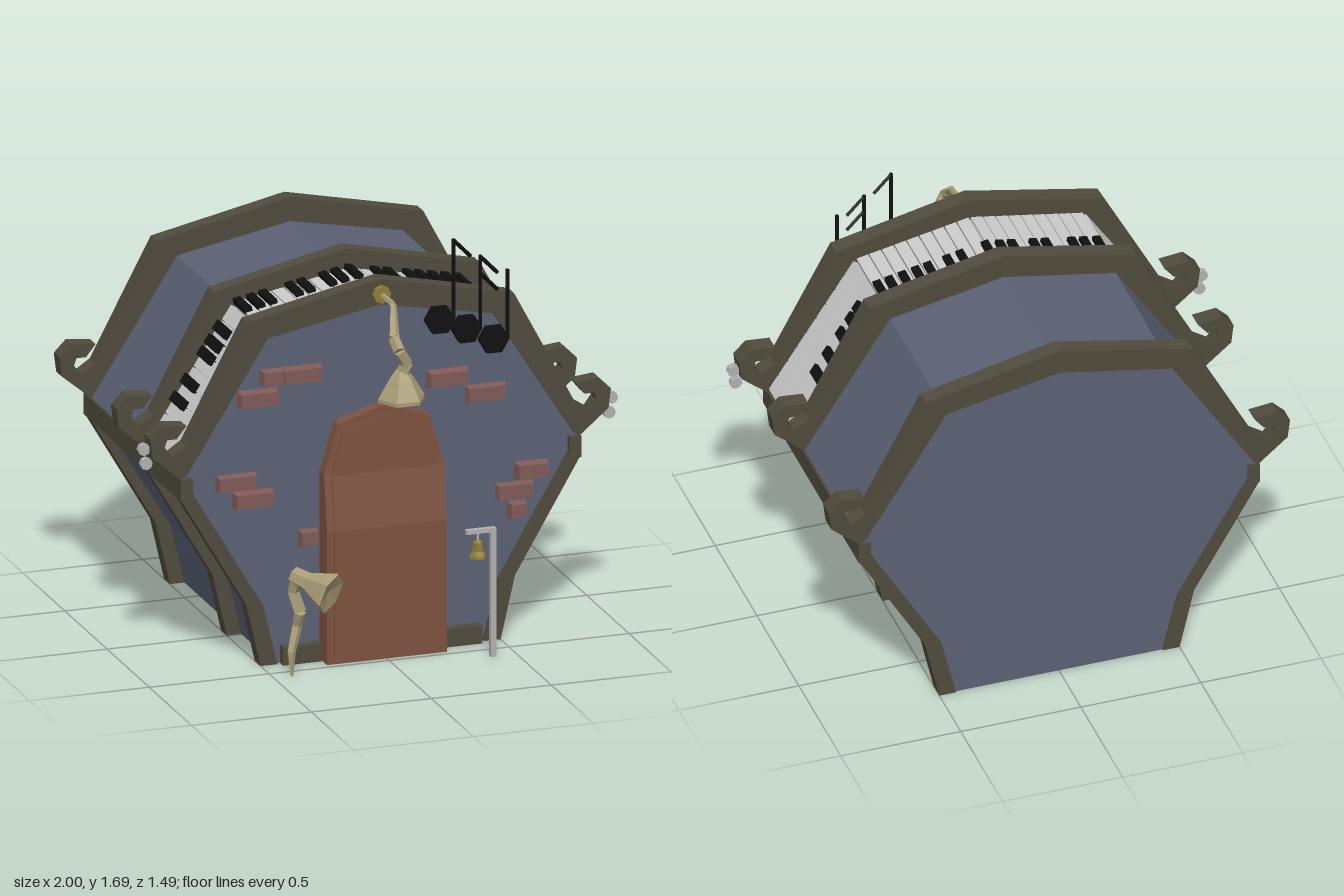
import * as THREE from 'three';

const mat = (color) => new THREE.MeshStandardMaterial({ color, flatShading: true });
const M = {
  wall: mat(0x5a6174), frame: mat(0x4f4b3d), door: mat(0x7d5240), brick: mat(0x7f5a58),
  brass: mat(0xa89c75), gold: mat(0x8f7d35), white: mat(0xf0f0f0), black: mat(0x101010), steel: mat(0xb0b0b0),
};
const V = (x, y, z) => new THREE.Vector3(x, y, z);

export function createModel() {
  const root = new THREE.Group();

  const add = (name, geo, material, x = 0, y = 0, z = 0) => {
    const m = new THREE.Mesh(geo, material);
    m.name = name;
    m.position.set(x, y, z);
    root.add(m);
    return m;
  };
  const box = (name, w, h, d, material, x, y, z) =>
    add(name, new THREE.BoxGeometry(w, h, d), material, x, y, z);
  // Extrude a closed outline from z0 to z1
  const slab = (name, pts, z0, z1, material) =>
    add(name, new THREE.ExtrudeGeometry(new THREE.Shape(pts.map(([x, y]) => new THREE.Vector2(x, y))),
      { depth: z1 - z0, bevelEnabled: false }), material, 0, 0, z0);
  const mirror = (pts) => pts.map(([x, y]) => [-x, y]).reverse();
  // Tapered bar between two points
  const strut = (name, a, b, r0, r1, material, sides = 5) => {
    const dir = b.clone().sub(a);
    const m = add(name, new THREE.CylinderGeometry(r1, r0, dir.length(), sides), material);
    m.position.copy(a).addScaledVector(dir, 0.5);
    m.quaternion.setFromUnitVectors(V(0, 1, 0), dir.normalize());
    return m;
  };
  const limb = (name, pts, radii, material) => {
    for (let i = 0; i < pts.length - 1; i++) strut(name, pts[i], pts[i + 1], radii[i], radii[i + 1], material);
  };
  // Six-sided turned shape
  const turned = (pts) => new THREE.LatheGeometry(
    pts.map(([r, y]) => new THREE.Vector2(r, y)), 6, Math.PI / 2);

  // House body
  const side = [[0.44, 0], [0.5, 0.25], [0.8, 0.74], [0.825, 0.81], [0.47, 1.36]];
  slab('body', [...side, [0, 1.45], ...mirror(side)], -0.738, 0.385, M.wall);

  // Roof arches with curled ends, and the leaning posts below them
  const curl = [[0.83, 0.81], [0.95, 0.91], [0.96, 0.99], [0.91, 1.04], [0.81, 1.03], [0.85, 0.98],
    [0.89, 0.98], [0.9, 0.95], [0.87, 0.91], [0.81, 0.95], [0.556, 1.43]];
  const under = [[0.47, 1.355], [0.81, 0.82]];
  const arch = [...curl, [0, 1.55], ...mirror(curl), ...mirror(under), [0, 1.445], ...under];
  const post = [[0.43, 0], [0.5, 0], [0.56, 0.26], [0.83, 0.72], [0.83, 0.81], [0.815, 0.8], [0.49, 0.25]];
  for (const [z0, z1] of [[0.33, 0.4], [-0.07, 0], [-0.745, -0.675]]) {
    slab('roofArch', arch, z0, z1, M.frame);
    slab('post', post, z0, z1, M.frame);
    slab('post', mirror(post), z0, z1, M.frame);
  }
  for (const s of [-1, 1]) {
    box('sideRail', 0.05, 0.09, 1.15, M.frame, s * 0.81, 0.765, -0.17);
    box('baseBlock', 0.16, 0.075, 0.05, M.frame, s * 0.335, 0.0375, 0.4);
    for (const [x, y] of [[0.975, 0.94], [0.965, 0.88]]) {
      add('curlStud', new THREE.CylinderGeometry(0.025, 0.025, 0.025, 8), M.steel, s * x, y, 0.36)
        .rotation.x = Math.PI / 2;
    }
  }

  // Piano keys laid over the roof
  const ridge = [[-0.825, 0.825], [-0.47, 1.365], [0, 1.455], [0.47, 1.365], [0.825, 0.825]];
  const place = (mesh, i, t, lift) => {
    const [ax, ay] = ridge[i], [bx, by] = ridge[i + 1];
    const a = Math.atan2(by - ay, bx - ax);
    mesh.position.x = ax + (bx - ax) * t - Math.sin(a) * lift;
    mesh.position.y = ay + (by - ay) * t + Math.cos(a) * lift;
    mesh.rotation.z = a;
  };
  for (let i = 0; i < 4; i++) {
    const n = 9;
    const w = Math.hypot(ridge[i + 1][0] - ridge[i][0], ridge[i + 1][1] - ridge[i][1]) / n;
    for (let k = 0; k < n; k++) {
      place(box('whiteKey', w - 0.005, 0.03, 0.33, M.white, 0, 0, 0.165), i, (k + 0.5) / n, 0);
    }
  }
  const blackX = [-0.705, -0.66, -0.59, -0.56, -0.525, -0.455, -0.4, -0.35, -0.24, -0.19, -0.1, -0.05,
    0.0, 0.105, 0.16, 0.24, 0.29, 0.345, 0.4, 0.45, 0.52, 0.55, 0.59, 0.645, 0.695];
  for (const x of blackX) {
    const i = ridge.findIndex((p, k) => k < 4 && x >= p[0] && x < ridge[k + 1][0]);
    const w = i === 0 || i === 3 ? 0.042 : 0.032;
    place(box('blackKey', w, 0.025, 0.14, M.black, 0, 0, 0.07), i,
      (x - ridge[i][0]) / (ridge[i + 1][0] - ridge[i][0]), 0.02);
  }

  // Arched door, with a front that leans back above the middle
  const doorLeaf = (rows, lift) => {
    const g = new THREE.BoxGeometry(2, rows.length - 1, 1, 2, rows.length - 1, 1);
    const p = g.attributes.position;
    for (let i = 0; i < p.count; i++) {
      const [y, half, z] = rows[Math.round(p.getY(i) + (rows.length - 1) / 2)];
      p.setXYZ(i, p.getX(i) * half, y, p.getZ(i) > 0 ? z + lift : 0.38);
    }
    g.computeVertexNormals();
    return g;
  };
  add('door', doorLeaf([[0, 0.25, 0.475], [0.55, 0.25, 0.475], [0.78, 0.25, 0.44],
    [0.98, 0.19, 0.435], [1.04, 0, 0.435]], 0), M.door);
  add('doorPanel', doorLeaf([[0.03, 0.22, 0.475], [0.55, 0.22, 0.475], [0.77, 0.22, 0.442],
    [0.95, 0.17, 0.437], [1.005, 0, 0.436]], 0.006), M.door);

  // Loose bricks on the front wall, narrowed at the face
  const bricks = [[-0.33, 1.19, 0.17], [-0.45, 1.19, 0.1], [-0.51, 1.11, 0.17], [-0.6, 0.77, 0.17],
    [-0.53, 0.695, 0.17], [-0.3, 0.51, 0.085], [0.28, 1.11, 0.17], [0.44, 1.03, 0.17],
    [0.63, 0.69, 0.14], [0.56, 0.61, 0.16], [0.57, 0.53, 0.08]];
  bricks.forEach(([x, y, w], k) => {
    const g = new THREE.BoxGeometry(w, 0.07, 0.04);
    const p = g.attributes.position;
    for (let i = 0; i < p.count; i++) {
      if (p.getZ(i) > 0) p.setXY(i, p.getX(i) * (1 - 0.018 / w), p.getY(i) * 0.8);
    }
    g.computeVertexNormals();
    add('brick', g, M.brick, x, y, k % 2 ? 0.4 : 0.405);
  });

  // Musical notes: head, stem and sloping flags
  const notes = [[0.24, 1.36, 1.69, [0]], [0.352, 1.31, 1.61, [0, 0.07]], [0.465, 1.255, 1.54, []]];
  for (const [x, y, top, flags] of notes) {
    const head = add('noteHead', new THREE.CylinderGeometry(0.062, 0.062, 0.03, 6), M.black, x, y, 0.415);
    head.geometry.rotateY(Math.PI / 2);
    head.rotation.x = Math.PI / 2;
    box('noteStem', 0.012, top - y, 0.012, M.black, x + 0.056, (top + y) / 2, 0.42);
    for (const drop of flags) {
      strut('noteFlag', V(x + 0.056, top - drop - 0.005, 0.42), V(x + 0.128, top - drop - 0.08, 0.42),
        0.008, 0.008, M.black, 4);
    }
  }

  // Bent lamp arm and faceted shade above the door
  add('lampMount', new THREE.CylinderGeometry(0.036, 0.036, 0.025, 8), M.gold, 0, 1.49, 0.41)
    .rotation.x = Math.PI / 2;
  limb('lampArm', [V(0, 1.49, 0.41), V(0.01, 1.48, 0.52), V(-0.025, 1.38, 0.63), V(-0.02, 1.34, 0.68),
    V(0.015, 1.28, 0.67), V(-0.005, 1.23, 0.66)], [0.01, 0.013, 0.022, 0.024, 0.025, 0.03], M.brass);
  add('lampShade', turned([[0, 0.13], [0.025, 0.125], [0.052, 0.09], [0.097, 0.015], [0.097, 0], [0, 0.012]].reverse()),
    M.brass, -0.005, 1.13, 0.66);

  // Crooked horn standing left of the door
  limb('hornStem', [V(-0.425, 0, 0.555), V(-0.425, 0.1, 0.55), V(-0.395, 0.2, 0.53), V(-0.39, 0.26, 0.55),
    V(-0.41, 0.34, 0.525), V(-0.4, 0.4, 0.545)], [0.006, 0.018, 0.022, 0.026, 0.024, 0.03], M.brass);
  const horn = add('hornBell', turned([[0, 0], [0.035, 0], [0.04, 0.07], [0.085, 0.17], [0.085, 0.18], [0, 0.165]]),
    M.brass, -0.41, 0.41, 0.53);
  horn.quaternion.setFromUnitVectors(V(0, 1, 0), V(0.1, -0.045, 0.115).normalize());

  // Door bell hanging from a bent post
  box('bellPost', 0.022, 0.535, 0.022, M.steel, 0.402, 0.2675, 0.585);
  box('bellArm', 0.12, 0.018, 0.022, M.steel, 0.35, 0.526, 0.585);
  box('bellHook', 0.008, 0.04, 0.008, M.steel, 0.34, 0.505, 0.585);
  add('bell', turned([[0, 0], [0.036, 0], [0.034, 0.012], [0.022, 0.03], [0.02, 0.065], [0, 0.08]]),
    M.gold, 0.34, 0.415, 0.585);
  return root;
}
